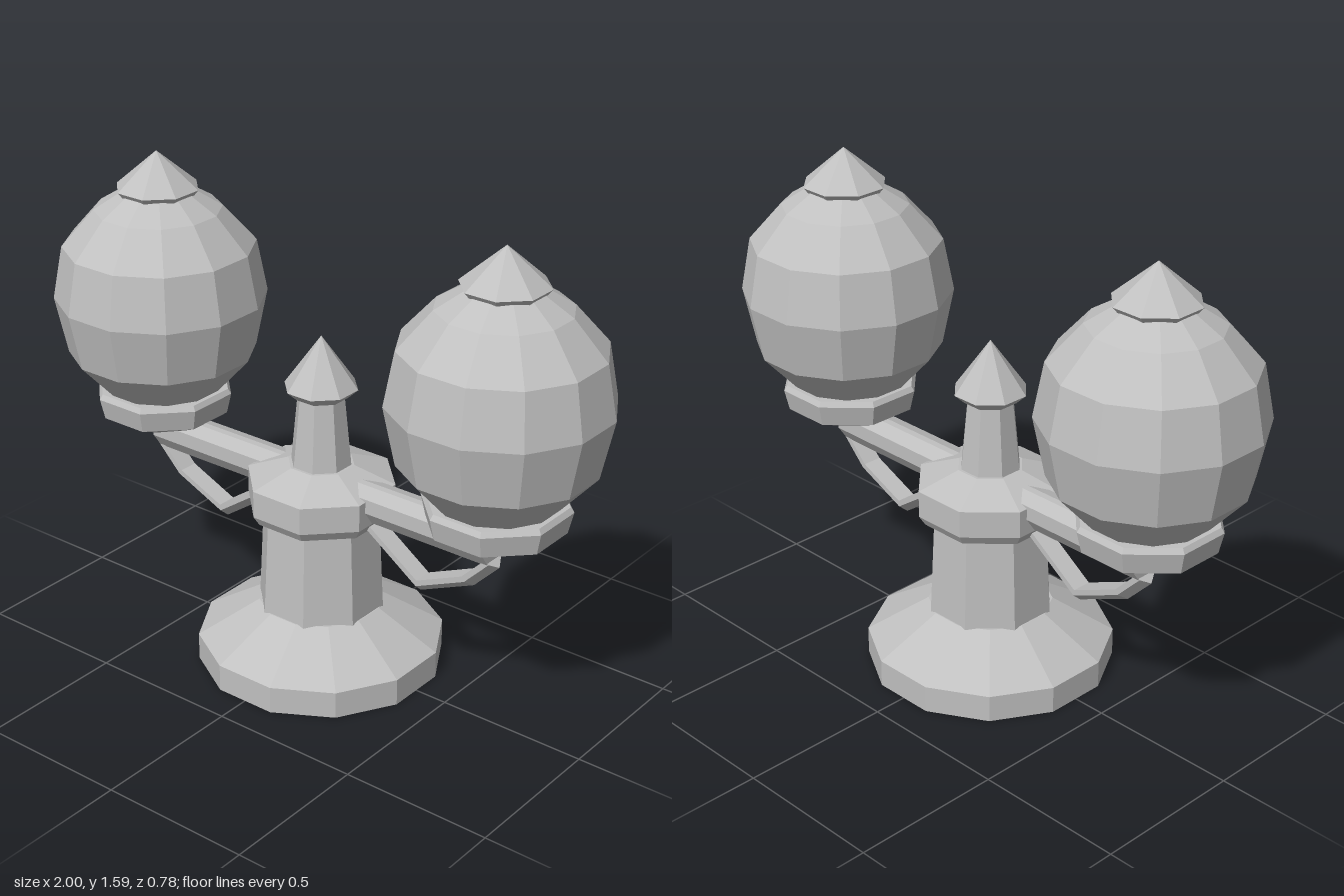
import * as THREE from 'three';

const metal = new THREE.MeshStandardMaterial({ color: 0xc0c0c0, flatShading: true });
metal.name = 'grey metal';

// Faceted solid of revolution with a flat side facing the front; profile is [apothem, y] from the bottom up
function turned(name, sides, profile) {
  const k = 1 / Math.cos(Math.PI / sides);
  const points = profile.map(([r, y]) => new THREE.Vector2(r * k, y));
  const mesh = new THREE.Mesh(new THREE.LatheGeometry(points, sides, Math.PI / sides), metal);
  mesh.name = name;
  return mesh;
}

// Sweeps a cross-section [across, up] along a path in the xy plane, with mitred bends
function swept(name, path, section) {
  const pts = path.map(([x, y]) => new THREE.Vector2(x, y));
  const n = section.length, positions = [], index = [];
  pts.forEach((p, i) => {
    const before = p.clone().sub(pts[Math.max(i - 1, 0)]).normalize();
    const after = pts[Math.min(i + 1, pts.length - 1)].clone().sub(p).normalize();
    const dir = before.clone().add(after).normalize();
    const mitre = 1 / dir.dot(i ? before : after);
    for (const [u, v] of section) {
      positions.push(p.x - dir.y * v * mitre, p.y + dir.x * v * mitre, -u);
    }
  });
  for (let i = 0; i < pts.length - 1; i++) {
    for (let j = 0; j < n; j++) {
      const a = i * n + j, b = i * n + (j + 1) % n;
      index.push(a, b, b + n, a, b + n, a + n);
    }
  }
  const end = (pts.length - 1) * n;
  for (let j = 1; j < n - 1; j++) {
    index.push(0, j + 1, j, end, end + j, end + j + 1);
  }
  const geometry = new THREE.BufferGeometry();
  geometry.setAttribute('position', new THREE.Float32BufferAttribute(positions, 3));
  geometry.setIndex(index);
  geometry.computeVertexNormals();
  const mesh = new THREE.Mesh(geometry, metal);
  mesh.name = name;
  return mesh;
}

// One arm with its brace, cup, globe and cap, built toward +x
function createLampArm() {
  const side = new THREE.Group();
  side.add(
    swept('arm', [[0, 0.62], [0.663, 0.62]],
      [[-0.03, -0.055], [0.03, -0.055], [0.063, -0.008], [0.063, 0.04],
        [0.012, 0.058], [-0.012, 0.058], [-0.063, 0.04], [-0.063, -0.008]]),
    swept('brace', [[0.16, 0.57], [0.4, 0.403], [0.58, 0.483], [0.667, 0.572]],
      [[0, -0.025], [0.033, 0], [0.033, 0.018], [-0.033, 0.018], [-0.033, 0]])
  );
  const lamp = new THREE.Group();
  lamp.name = 'lamp';
  lamp.position.x = 0.665;
  lamp.add(
    turned('cup', 8, [[0, 0.63], [0.065, 0.63], [0.2, 0.7], [0.215, 0.77], [0.205, 0.787], [0, 0.787]]),
    turned('globe', 12, [[0, 0.775], [0.18, 0.775], [0.297, 0.91], [0.335, 1.1],
      [0.303, 1.275], [0.2, 1.395], [0.115, 1.45], [0, 1.45]]),
    turned('globeCap', 8, [[0, 1.445], [0.112, 1.445], [0.127, 1.465], [0, 1.585]])
  );
  side.add(lamp);
  return side;
}

export function createModel() {
  const model = new THREE.Group();
  model.name = 'twinLamp';

  // Central post
  model.add(
    turned('base', 12, [[0, 0], [0.388, 0], [0.388, 0.09], [0.195, 0.21], [0, 0.21]]),
    turned('column', 8, [[0, 0.2], [0.192, 0.2], [0.177, 0.54], [0, 0.54]]),
    turned('collar', 8, [[0, 0.528], [0.205, 0.528], [0.224, 0.56], [0.224, 0.65], [0.1, 0.7], [0, 0.7]]),
    turned('neck', 8, [[0, 0.69], [0.092, 0.69], [0.07, 0.935], [0, 0.935]]),
    turned('finial', 8, [[0, 0.93], [0.08, 0.93], [0.11, 0.96], [0, 1.13]])
  );

  // Matching lamp arms on both sides
  ['leftLampArm', 'rightLampArm'].forEach((name, i) => {
    const side = createLampArm();
    side.name = name;
    side.rotation.y = i * Math.PI;
    model.add(side);
  });
  return model;
}
